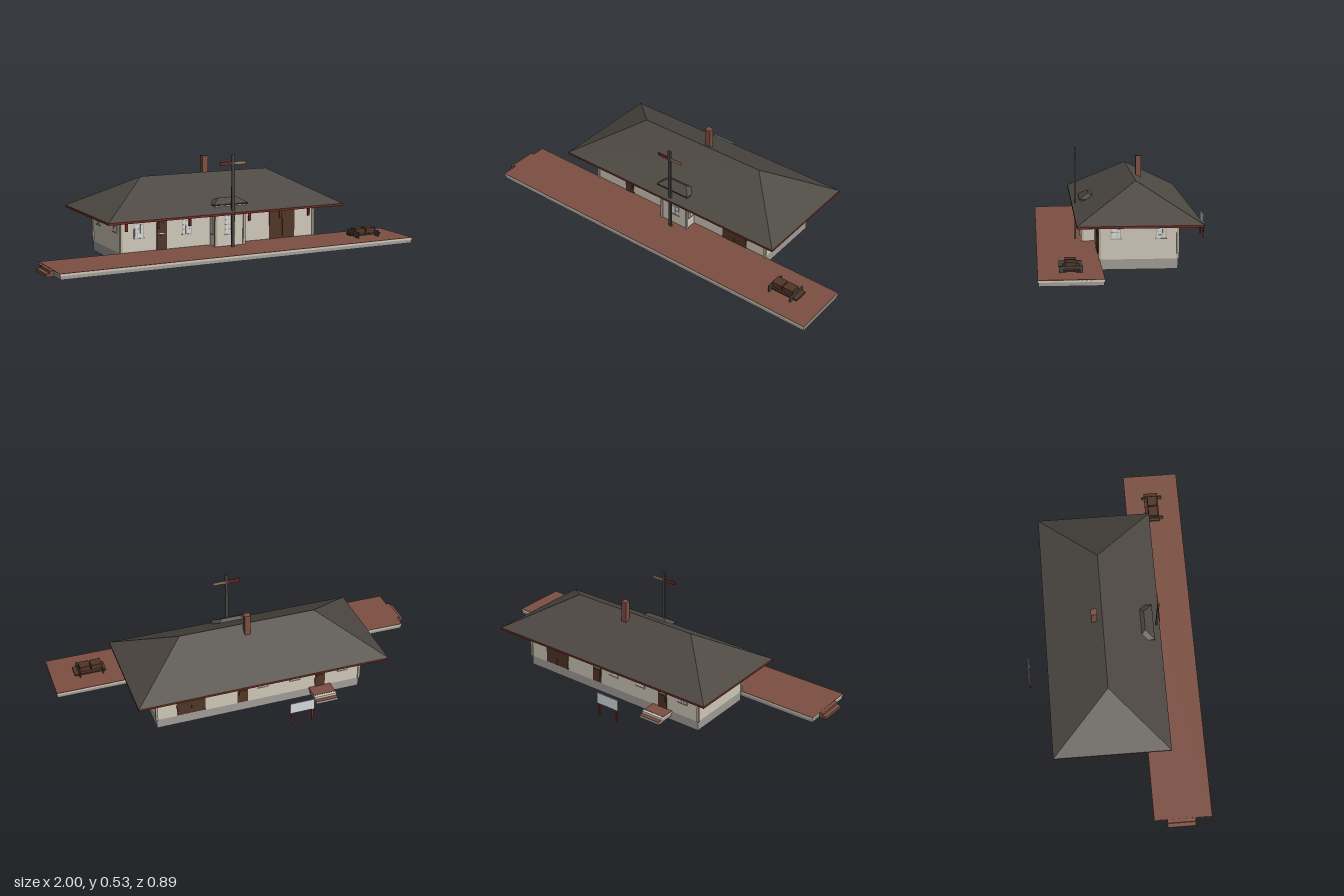
import * as THREE from 'three';

const mat = (name, color) => {
  const m = new THREE.MeshStandardMaterial({ color });
  m.name = name;
  return m;
};

export function createModel() {
  const M = {
    roof: mat('roof slate', 0x4d4842),
    wall: mat('cream wall', 0xd0c9ba),
    trim: mat('stone trim', 0xb8ae9b),
    stone: mat('grey concrete', 0xa29e99),
    brick: mat('brick', 0x7d4f42),
    red: mat('red trim', 0x76281f),
    door: mat('dark wood', 0x503527),
    glass: mat('pale glass', 0xd6dadb),
    metal: mat('dark iron', 0x454541),
    tan: mat('tan wood', 0x94795a),
  };
  const model = new THREE.Group();
  model.name = 'railwayStation';

  const group = (name, parent = model) => {
    const g = new THREE.Group();
    g.name = name;
    parent.add(g);
    return g;
  };
  // Box given by its limits on each axis
  const box = (name, m, x0, x1, y0, y1, z0, z1, parent = model) => {
    const mesh = new THREE.Mesh(new THREE.BoxGeometry(x1 - x0, y1 - y0, z1 - z0), m);
    mesh.position.set((x0 + x1) / 2, (y0 + y1) / 2, (z0 + z1) / 2);
    mesh.name = name;
    parent.add(mesh);
  };
  // Four boards round an open rectangle
  const ring = (name, m, x0, x1, y0, y1, z0, z1, t, parent = model) => {
    const g = group(name, parent);
    box('frontBoard', m, x0, x1, y0, y1, z1 - t, z1, g);
    box('backBoard', m, x0, x1, y0, y1, z0, z0 + t, g);
    box('rightBoard', m, x0, x0 + t, y0, y1, z0 + t, z1 - t, g);
    box('leftBoard', m, x1 - t, x1, y0, y1, z0 + t, z1 - t, g);
  };

  // Hipped roof surface; flip gives the underside
  const hip = (name, m, x0, x1, z0, z1, y0, y1, inset, flip = false) => {
    const zm = (z0 + z1) / 2;
    const A = [x0, y0, z1], B = [x1, y0, z1], C = [x1, y0, z0], D = [x0, y0, z0];
    const L = [x0 + inset, y1, zm], R = [x1 - inset, y1, zm];
    const tris = [[A, B, R], [A, R, L], [B, C, R], [C, D, L], [C, L, R], [D, A, L]];
    const geo = new THREE.BufferGeometry();
    const pts = tris.flatMap(([a, b, c]) => (flip ? [a, c, b] : [a, b, c])).flat();
    geo.setAttribute('position', new THREE.Float32BufferAttribute(pts, 3));
    geo.computeVertexNormals();
    const mesh = new THREE.Mesh(geo, m);
    mesh.name = name;
    model.add(mesh);
  };

  // Main limits of the building
  const X0 = -0.535, X1 = 0.567, Z0 = -0.229, Z1 = 0.147;
  const BX0 = -0.043, BX1 = 0.118, BZ = 0.21;

  // Open foundation with a floor above it, and walls
  ring('foundation', M.stone, X0, X1, 0, 0.05, Z0, Z1, 0.008);
  box('floor', M.tan, X0 + 0.008, X1 - 0.008, 0.044, 0.05, Z0 + 0.008, Z1 - 0.008);
  box('walls', M.wall, X0, X1, 0.05, 0.285, Z0, Z1);
  ring('bayFoundation', M.stone, BX0, BX1, 0, 0.05, Z1, BZ, 0.006);
  box('bayWalls', M.wall, BX0, BX1, 0.05, 0.272, Z1, BZ);

  // Corner boards
  const corners = group('cornerBoards');
  const corner = (x, z, top) =>
    box('cornerBoard', M.trim, x - 0.006, x + 0.006, 0.05, top, z - 0.006, z + 0.006, corners);
  for (const x of [X0, X1]) for (const z of [Z0, Z1]) corner(x, z, 0.28);
  for (const x of [BX0, BX1]) corner(x, BZ, 0.262);

  // Main roof
  ring('eaveBoards', M.red, -0.645, 0.682, 0.22, 0.231, -0.343, 0.26, 0.006);
  hip('mainRoof', M.roof, -0.645, 0.682, -0.343, 0.26, 0.231, 0.402, 0.3);
  hip('roofUnderside', M.trim, -0.645, 0.682, -0.343, 0.26, 0.227, 0.398, 0.3, true);

  // Small hipped roof above the bay
  ring('bayEaveBoards', M.red, -0.06, 0.135, 0.266, 0.272, 0.131, 0.225, 0.006);
  hip('bayRoof', M.roof, -0.06, 0.135, 0.131, 0.225, 0.272, 0.3, 0.047);
  hip('bayRoofUnderside', M.trim, -0.06, 0.135, 0.131, 0.225, 0.27, 0.298, 0.047, true);

  // Chimney
  box('chimney', M.brick, 0.022, 0.052, 0.33, 0.478, -0.098, -0.07);
  box('chimneyCap', M.brick, 0.02, 0.054, 0.477, 0.483, -0.1, -0.068);

  // Openings are made facing +z at the origin, then turned onto a wall
  const place = (name, x, z, angle) => {
    const g = group(name);
    g.position.set(x, 0, z);
    g.rotation.y = angle;
    return g;
  };
  const windowAt = (x, z, angle, w, y0, y1) => {
    const g = place('window', x, z, angle);
    const h = w / 2;
    box('frame', M.trim, -h - 0.005, h + 0.005, y0 - 0.003, y1 + 0.004, 0, 0.002, g);
    box('sill', M.trim, -h - 0.007, h + 0.007, y0 - 0.006, y0 - 0.002, 0, 0.005, g);
    box('glass', M.glass, -h, h, y0, y1, 0.001, 0.003, g);
    for (const f of [-1, 1])
      box('glazingBar', M.trim, f * w / 6 - 0.0006, f * w / 6 + 0.0006, y0, y1, 0.002, 0.004, g);
    for (const f of [0.25, 0.5, 0.75]) {
      const y = y0 + (y1 - y0) * f, t = f === 0.5 ? 0.0014 : 0.0006;
      box('glazingBar', M.trim, -h, h, y - t, y + t, 0.002, 0.004, g);
    }
  };
  const doorAt = (x, z, angle) => {
    const g = place('door', x, z, angle);
    box('leaf', M.door, -0.028, 0.028, 0.053, 0.202, 0, 0.003, g);
    box('rail', M.glass, -0.018, 0.018, 0.134, 0.138, 0.002, 0.004, g);
    box('lowerPanel', M.door, -0.019, 0.019, 0.065, 0.125, 0.002, 0.005, g);
    box('upperPanel', M.door, -0.019, 0.019, 0.146, 0.19, 0.002, 0.005, g);
  };
  const freightDoorAt = (x, z, angle) => {
    const g = place('freightDoor', x, z, angle);
    box('frame', M.door, -0.076, 0.076, 0.053, 0.228, 0, 0.002, g);
    for (const s of [-1, 1]) {
      const c = s * 0.037;
      box('leaf', M.door, c - 0.035, c + 0.035, 0.055, 0.225, 0.001, 0.004, g);
    }
  };

  // Front and back walls
  for (const x of [-0.44, -0.175]) {
    windowAt(x, Z1, 0, 0.045, 0.124, 0.214);
    windowAt(x, Z0, Math.PI, 0.045, 0.124, 0.214);
  }
  windowAt(0, Z0, Math.PI, 0.045, 0.124, 0.214);
  doorAt(-0.315, Z1, 0);
  doorAt(-0.315, Z0, Math.PI);
  doorAt(0.11, Z0, Math.PI);
  freightDoorAt(0.378, Z1, 0);
  freightDoorAt(0.385, Z0, Math.PI);
  // Bay
  windowAt(0.038, BZ, 0, 0.052, 0.116, 0.214);
  // End walls and bay sides, with a blank board under each end eave
  for (const s of [-1, 1]) {
    const x = s > 0 ? X1 : X0, a = s * Math.PI / 2;
    windowAt(x, 0.069, a, 0.041, 0.152, 0.211);
    windowAt(x, -0.149, a, 0.041, 0.152, 0.211);
    windowAt(s > 0 ? BX1 : BX0, 0.178, a, 0.028, 0.116, 0.214);
    const board = place('endBoard', x, -0.04, a);
    box('boardEdge', M.metal, -0.075, 0.075, 0.234, 0.266, 0, 0.004, board);
    box('boardFace', M.glass, -0.072, 0.072, 0.237, 0.263, 0.003, 0.006, board);
  }

  // Eave brackets: a short post and an arm out to the eave
  const bracketAt = (x, z, angle) => {
    const g = place('eaveBracket', x, z, angle);
    box('post', M.red, -0.006, 0.006, 0.162, 0.24, 0.007, 0.014, g);
    box('arm', M.red, -0.006, 0.006, 0.221, 0.231, 0, 0.108, g);
  };
  [-0.51, -0.335, -0.162, 0.18, 0.362, 0.535].forEach((x) => bracketAt(x, Z1, 0));
  [-0.51, -0.37, -0.195, -0.03, 0.16, 0.33, 0.535].forEach((x) => bracketAt(x, Z0, Math.PI));

  // Open-bottomed platform with paved top, and its end step
  const slab = (name, x0, x1, z0, z1) => {
    const g = group(name);
    ring('slabBase', M.stone, x0 + 0.003, x1 - 0.003, 0.024, 0.042, z0 + 0.003, z1 - 0.003, 0.006, g);
    ring('slabEdge', M.wall, x0, x1, 0.042, 0.052, z0, z1, 0.009, g);
    box('paving', M.brick, x0, x1, 0.05, 0.0535, z0, z1, g);
  };
  slab('platform', -0.962, 1, 0.147, 0.446);
  box('platformStep', M.brick, -1, -0.962, 0.024, 0.039, 0.215, 0.36);
  box('platformUpperStep', M.brick, -0.98, -0.962, 0.039, 0.052, 0.215, 0.36);

  // Back steps
  slab('backLanding', -0.375, -0.255, -0.302, Z0);
  box('backStep', M.stone, -0.375, -0.255, 0.024, 0.037, -0.34, -0.302);
  box('backStepTread', M.brick, -0.375, -0.255, 0.037, 0.039, -0.34, -0.302);
  box('backUpperStep', M.wall, -0.375, -0.255, 0.038, 0.052, -0.319, -0.302);

  // Signal mast with two arms
  const signal = group('signalMast');
  box('mast', M.metal, 0.03, 0.046, 0.053, 0.527, 0.238, 0.247, signal);
  box('redArm', M.red, -0.035, 0.03, 0.473, 0.489, 0.241, 0.245, signal);
  box('tanArm', M.tan, 0.046, 0.111, 0.473, 0.489, 0.241, 0.245, signal);

  // Free-standing blank board on two posts behind the building
  const sign = group('standingBoard');
  for (const x of [-0.19, -0.08]) box('signPost', M.red, x - 0.005, x + 0.005, 0.024, 0.09, -0.447, -0.441, sign);
  box('signFace', M.glass, -0.2, -0.07, 0.09, 0.15, -0.446, -0.442, sign);

  // Luggage trolley
  const cart = group('luggageTrolley');
  box('deck', M.door, 0.712, 0.88, 0.062, 0.07, 0.252, 0.328, cart);
  for (const x of [0.73, 0.853]) {
    box('crossBar', M.metal, x - 0.003, x + 0.003, 0.066, 0.084, 0.24, 0.347, cart);
    for (const z of [0.255, 0.332]) box('leg', M.metal, x - 0.003, x + 0.003, 0.054, 0.084, z - 0.015, z + 0.015, cart);
  }
  for (const x of [0.758, 0.82]) box('crate', M.door, x - 0.028, x + 0.028, 0.07, 0.099, 0.268, 0.32, cart);

  return model;
}
